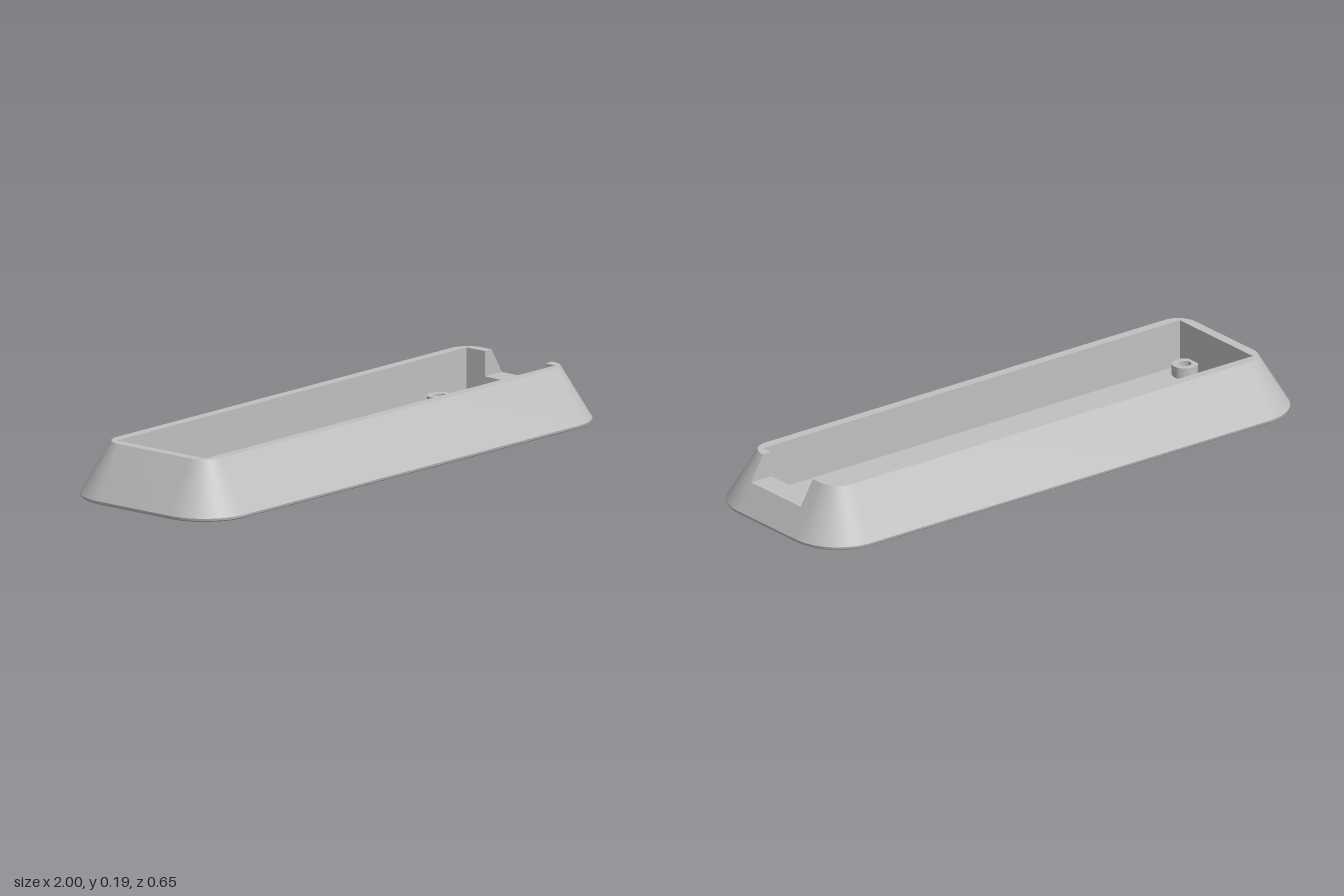
import * as THREE from 'three';
import { toCreasedNormals } from 'three/addons/utils/BufferGeometryUtils.js';

const H = 0.185, FLOOR = 0.027, BOSS_TOP = 0.065; // heights
const CX = 0.827, CZ = 0.154;                     // corner arc centres
const X = 0.863, Z = 0.191;                       // cavity half sizes
const N0 = -0.112, N1 = 0.148, NY = 0.1;          // notch z range and sill height
const HOLE = 0.021, SINK = 0.035;
const bosses = [[-0.828, -0.122], [-0.828, 0.12], [0.683, -0.148], [-0.083, 0]];

// Corner radius of the outer shell at each level, bottom to top
const levels = [[0, 0.166], [0.004, 0.171], [0.012, 0.173], [NY, 0.1206], [H, 0.07]];

// Rounded rectangle from one notch edge round to the other
function ring(r) {
  const pts = [[CX + r, N1]], seg = 12;
  [[1, 1], [-1, 1], [-1, -1], [1, -1]].forEach(([sx, sz], k) => {
    for (let i = 0; i <= seg; i++) {
      const t = (k + i / seg) * Math.PI / 2;
      pts.push([sx * CX + r * Math.cos(t), sz * CZ + r * Math.sin(t)]);
    }
  });
  pts.push([CX + r, N0]);
  return pts;
}

// Geometry from a list of four-cornered faces
function fromQuads(quads) {
  const pos = [];
  for (const [a, b, c, d] of quads) pos.push(...a, ...b, ...c, ...a, ...c, ...d);
  const g = new THREE.BufferGeometry();
  g.setAttribute('position', new THREE.Float32BufferAttribute(pos, 3));
  g.computeVertexNormals();
  return toCreasedNormals(g, 0.5);
}

// Upright rectangle between two plan points
const upright = ([x0, z0], [x1, z1], y0, y1) =>
  [[x0, y0, z0], [x1, y0, z1], [x1, y1, z1], [x0, y1, z0]];

// Horizontal plate from plan points, facing up or down
function plate(pts, y, up, holeRadius) {
  const s = up ? -1 : 1;
  const shape = new THREE.Shape(pts.map(([x, z]) => new THREE.Vector2(x, s * z)));
  if (holeRadius) {
    for (const [x, z] of bosses) {
      shape.holes.push(new THREE.Path().absarc(x, s * z, holeRadius, 0, Math.PI * 2, true));
    }
  }
  return new THREE.ShapeGeometry(shape, 16).rotateX(s * Math.PI / 2).translate(0, y, 0);
}

export function createModel() {
  const group = new THREE.Group();
  const grey = new THREE.MeshStandardMaterial({ color: 0xc0c0c0 });
  grey.name = 'grey';
  const add = (name, geometry) => {
    const mesh = new THREE.Mesh(geometry, grey);
    mesh.name = name;
    group.add(mesh);
    return mesh;
  };

  // Sloping outer shell, open at the notch above the sill
  const shell = [];
  for (let l = 0; l < levels.length - 1; l++) {
    const [y0, r0] = levels[l], [y1, r1] = levels[l + 1];
    const lo = ring(r0), hi = ring(r1), n = lo.length;
    for (let i = 0; i < n; i++) {
      if (i === n - 1 && y0 >= NY) continue;
      const j = (i + 1) % n;
      const at = (p, y) => [p[0], y, p[1]];
      shell.push([at(lo[i], y0), at(hi[i], y1), at(hi[j], y1), at(lo[j], y0)]);
    }
  }
  add('outerShell', fromQuads(shell));

  // Underside, cavity floor and top rim
  add('underside', plate(ring(levels[0][1]), 0, false, SINK));
  add('cavityFloor', plate([[-X, -Z], [X, -Z], [X, Z], [-X, Z]], FLOOR, true, HOLE));
  add('topRim', plate([...ring(levels[4][1]),
    [X, N0], [X, -Z], [-X, -Z], [-X, Z], [X, Z], [X, N1]], H, true));

  // Cavity walls
  add('cavityWalls', fromQuads([
    upright([-X, -Z], [X, -Z], FLOOR, H),
    upright([X, Z], [-X, Z], FLOOR, H),
    upright([-X, Z], [-X, -Z], FLOOR, H),
    upright([X, -Z], [X, Z], FLOOR, NY),
    upright([X, -Z], [X, N0], NY, H),
    upright([X, N1], [X, Z], NY, H),
  ]));

  // Notch sill and cheeks
  const xo = CX + levels[3][1], xt = CX + levels[4][1];
  add('notch', fromQuads([
    [[X, NY, N1], [xo, NY, N1], [xo, NY, N0], [X, NY, N0]],
    [[xo, NY, N1], [X, NY, N1], [X, H, N1], [xt, H, N1]],
    [[X, NY, N0], [xo, NY, N0], [xt, H, N0], [X, H, N0]],
  ]));

  // Screw bosses with countersunk through holes
  const profile = [[0.043, FLOOR], [0.043, BOSS_TOP], [HOLE, BOSS_TOP], [HOLE, 0.015], [SINK, 0]]
    .map(([r, y]) => new THREE.Vector2(r, y));
  const bossGeometry = toCreasedNormals(new THREE.LatheGeometry(profile, 32), 0.5);
  for (const [x, z] of bosses) add('screwBoss', bossGeometry).position.set(x, 0, z);

  return group;
}
